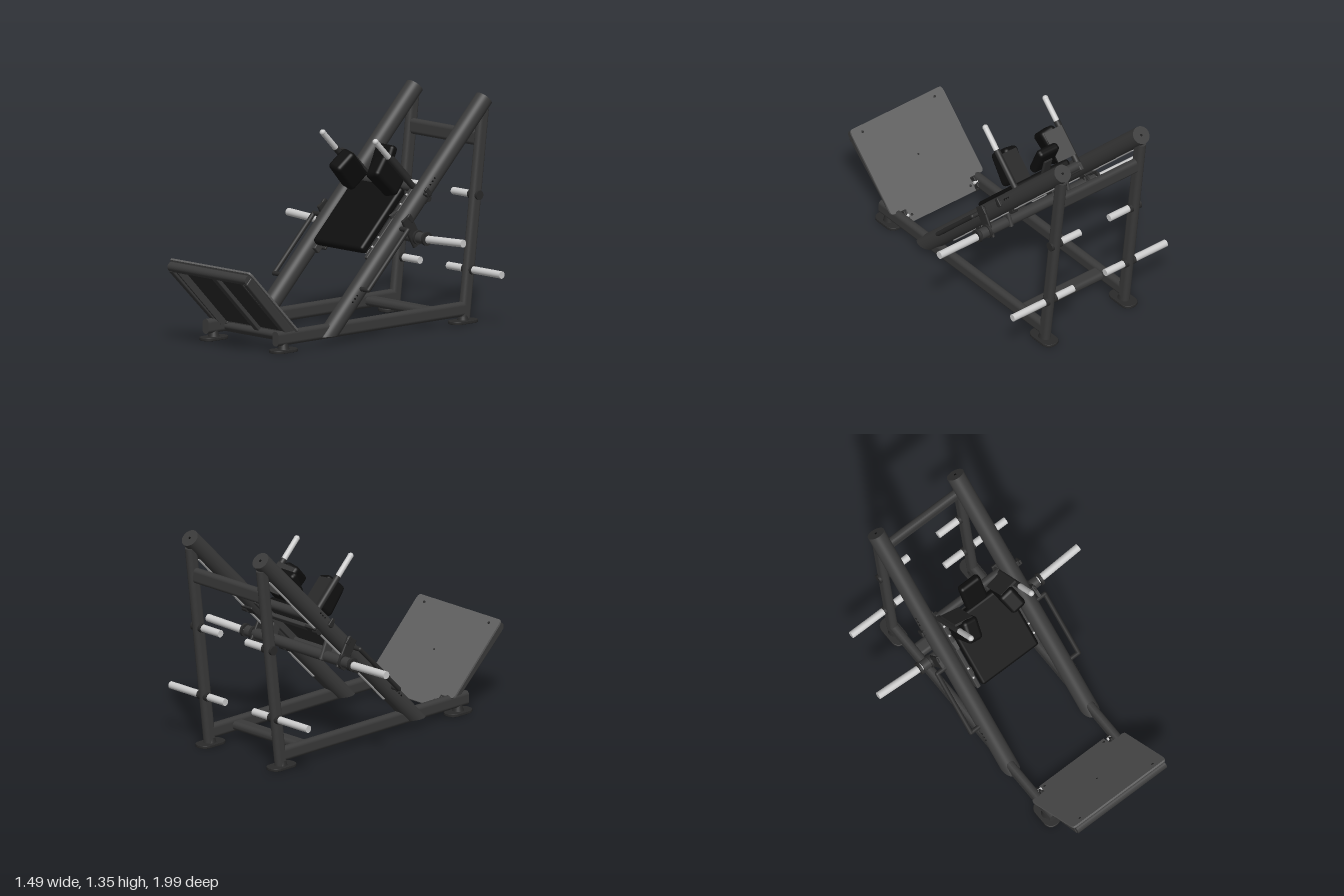
import * as THREE from 'three';
import { RoundedBoxGeometry } from 'three/addons/geometries/RoundedBoxGeometry.js';

const mat = (color) => new THREE.MeshStandardMaterial({ color });
const frame = mat(0x3a3a3a), plateGrey = mat(0x5e5e5e), black = mat(0x0e0e0e);
const dark = mat(0x2a2a2a), steel = mat(0xcccccc);
const V = (x, y, z) => new THREE.Vector3(x, y, z);

function add(parent, name, geo, material, x = 0, y = 0, z = 0) {
  const m = new THREE.Mesh(geo, material);
  m.name = name;
  m.position.set(x, y, z);
  parent.add(m);
  return m;
}

// Round rod between two points
function rod(parent, name, a, b, r, material, sides = 24) {
  const d = b.clone().sub(a);
  const m = add(parent, name, new THREE.CylinderGeometry(r, r, d.length(), sides), material);
  m.position.copy(a).add(b).multiplyScalar(0.5);
  m.quaternion.setFromUnitVectors(V(0, 1, 0), d.normalize());
  return m;
}

// Rounded rectangle outline
function roundRect(w, h, r) {
  const s = new THREE.Shape(), x = w / 2, y = h / 2;
  s.absarc(x - r, y - r, r, 0, Math.PI / 2);
  s.absarc(-x + r, y - r, r, Math.PI / 2, Math.PI);
  s.absarc(-x + r, -y + r, r, Math.PI, Math.PI * 1.5);
  s.absarc(x - r, -y + r, r, Math.PI * 1.5, Math.PI * 2);
  s.closePath();
  return s;
}

// Oval-section beam between two points
function beam(parent, name, a, b, w, h, material = frame) {
  const geo = new THREE.ExtrudeGeometry(roundRect(w, h, Math.min(w, h) * 0.46),
    { depth: a.distanceTo(b), bevelEnabled: false, curveSegments: 8 });
  const m = new THREE.Mesh(geo, material);
  m.name = name;
  m.position.copy(a);
  m.lookAt(b);
  parent.add(m);
  return m;
}

const box = (w, h, d, r = 0) =>
  r ? new RoundedBoxGeometry(w, h, d, 4, r) : new THREE.BoxGeometry(w, h, d);

function buildBase(root) {
  const g = new THREE.Group();
  g.name = 'baseFrame';
  root.add(g);
  for (const s of [-1, 1]) {
    const x = s * 0.297;
    beam(g, 'baseRail', V(x, 0.083, -0.79), V(x, 0.083, 0.72), 0.052, 0.088);
    beam(g, 'rearPost', V(x, 0.02, -0.792), V(x, 1.25, -0.945), 0.052, 0.075);
    // Feet
    for (const [z, len] of [[0.655, 0.18], [-0.785, 0.19]]) {
      const foot = add(g, 'foot', new THREE.ExtrudeGeometry(roundRect(0.1, len, 0.045),
        { depth: 0.01, bevelSize: 0.003, bevelThickness: 0.004, bevelSegments: 2 }), dark, x, 0.004, z);
      foot.rotation.x = -Math.PI / 2;
      add(g, 'footNeck', new THREE.CylinderGeometry(0.024, 0.036, 0.04, 24), dark, x, 0.034, z);
    }
    // Plate storage pegs
    rod(g, 'lowerPeg', V(s * 0.12, 0.312, -0.835), V(s * 0.575, 0.312, -0.835), 0.022, steel);
    rod(g, 'upperPeg', V(s * 0.11, 0.748, -0.884), V(s * 0.33, 0.748, -0.884), 0.022, steel);
    for (const [y, z] of [[0.312, -0.835], [0.748, -0.884]])
      rod(g, 'pegCollar', V(s * 0.255, y, z), V(s * 0.336, y, z), 0.028, dark);
  }
  beam(g, 'upperCrossbar', V(-0.29, 1.078, -0.923), V(0.29, 1.078, -0.923), 0.05, 0.092);
  beam(g, 'baseCrossbar', V(-0.29, 0.083, -0.583), V(0.29, 0.083, -0.583), 0.092, 0.052);
}

// Inclined tubes: local y runs up the slope, local z points off its upper face
function buildIncline(g) {
  const L = 1.775, R = 0.054;
  for (const s of [-1, 1]) {
    const x = s * 0.295;
    const geo = new THREE.CylinderGeometry(R, R, L, 40);
    geo.translate(0, L / 2, 0);
    // Slant the bottom end so it is level with the floor
    const p = geo.attributes.position;
    for (let i = 0; i < p.count; i++) if (p.getY(i) < 0.01) p.setY(i, -p.getZ(i));
    add(g, 'slopeTube', geo, frame, x);
    rod(g, 'endBolt', V(x, L, 0), V(x, L + 0.003, 0), 0.007, black, 12);
    rod(g, 'guideRod', V(x, 0.3, -0.046), V(x, 1.62, -0.046), 0.014, steel);
    // Adjustment holes and stop hooks on the outside
    for (const y of [0.24, 0.265, 0.29, 1.12, 1.145, 1.17])
      rod(g, 'adjustmentHole', V(s * 0.335, y, 0.02), V(s * 0.348, y, 0.02), 0.005, black, 10);
    for (const y of [0.86, 1.06]) {
      add(g, 'stopHook', box(0.05, 0.035, 0.03, 0.006), dark, s * 0.343, y, 0.012);
      add(g, 'stopHookTip', box(0.014, 0.03, 0.055, 0.005), dark, s * 0.363, y + 0.01, 0.02);
    }
    // Safety lever
    const path = new THREE.CurvePath();
    const pts = [V(s * 0.34, 0.34, 0.018), V(s * 0.4, 0.34, 0.018), V(s * 0.4, 0.79, 0.018), V(s * 0.34, 0.79, 0.018)];
    for (let i = 0; i < 3; i++) path.add(new THREE.LineCurve3(pts[i], pts[i + 1]));
    for (let i = 0; i < 3; i++) rod(g, 'safetyLever', pts[i], pts[i + 1], 0.014, dark, 16);
    for (const q of [pts[1], pts[2]]) add(g, 'leverCorner', new THREE.SphereGeometry(0.014, 16, 12), dark, q.x, q.y, q.z);
  }
}

function buildCarriage(g) {
  // Back pad on its board
  add(g, 'backPad', box(0.42, 0.47, 0.055, 0.02), black, 0, 0.805, 0.05);
  add(g, 'padBoard', box(0.38, 0.44, 0.014), dark, 0, 0.81, 0.016);
  for (const y of [0.66, 0.94])
    add(g, 'padBrace', box(0.44, 0.05, 0.025, 0.006), frame, 0, y, -0.004);
  rod(g, 'shoulderCrossbar', V(-0.225, 1.085, 0.012), V(0.225, 1.085, 0.012), 0.026, frame);

  for (const s of [-1, 1]) {
    add(g, 'sideRail', box(0.026, 0.56, 0.05, 0.006), frame, s * 0.222, 0.83, 0.0);
    for (const y of [0.63, 0.7, 0.95, 1.02])
      rod(g, 'railBolt', V(s * 0.225, y, 0.024), V(s * 0.225, y, 0.031), 0.007, steel, 6);
    // Rollers under the tubes
    for (const y of [0.64, 1.07]) {
      add(g, 'rollerBracket', box(0.09, 0.07, 0.014, 0.004), dark, s * 0.265, y, -0.058);
      rod(g, 'roller', V(s * 0.275, y, -0.055), V(s * 0.315, y, -0.055), 0.02, dark);
    }
    // Shoulder pad and hand grip
    const pad = add(g, 'shoulderPad', box(0.105, 0.15, 0.21, 0.025), black, s * 0.16, 1.025, 0.185);
    pad.rotation.set(0, s * -0.12, s * 0.2);
    add(g, 'shoulderPlate', box(0.12, 0.014, 0.19), dark, s * 0.165, 1.1, 0.17).rotation.z = s * 0.2;
    rod(g, 'gripSleeve', V(s * 0.225, 1.085, 0), V(s * 0.225, 1.085, 0.3), 0.019, dark);
    rod(g, 'handGrip', V(s * 0.225, 1.085, 0.29), V(s * 0.225, 1.085, 0.45), 0.017, steel);
    add(g, 'gripEnd', new THREE.SphereGeometry(0.018, 20, 12), steel, s * 0.225, 1.085, 0.447);
  }
}

function buildLoading(root) {
  const g = new THREE.Group();
  g.name = 'loadingAxle';
  root.add(g);
  const y = 0.568, z = -0.352;
  rod(g, 'axle', V(-0.43, y, z), V(0.43, y, z), 0.033, frame);
  for (const s of [-1, 1]) {
    // Hanger linking the axle to the carriage
    beam(g, 'axleHanger', V(s * 0.222, 0.545, -0.37), V(s * 0.222, 0.7, -0.3), 0.024, 0.07);
    beam(g, 'outerHanger', V(s * 0.358, 0.525, -0.365), V(s * 0.358, 0.69, -0.27), 0.02, 0.08, dark);
    for (const [x, r] of [[0.365, 0.042], [0.44, 0.04]])
      rod(g, 'axleCollar', V(s * x, y, z), V(s * (x + 0.016), y, z), r, dark, 32);
    rod(g, 'weightHorn', V(s * 0.43, y - 0.004, z - 0.002), V(s * 0.745, 0.576, -0.366), 0.023, steel);
  }
  // Headrest
  const head = add(g, 'headrest', box(0.148, 0.195, 0.055, 0.022), black, 0, 0.968, -0.42);
  head.rotation.x = -0.42;
  beam(g, 'headrestStem', V(0, 0.8, -0.41), V(0, 0.97, -0.455), 0.06, 0.018, dark);
}

// Foot platform: local y runs up the plate, local z points to its underside
function buildPlatform(root) {
  const g = new THREE.Group();
  g.name = 'footPlatform';
  g.position.set(0, 0.06, 0.51);
  g.rotation.x = Math.PI / 4;
  root.add(g);
  const s = new THREE.Shape();
  s.moveTo(-0.24, 0);
  s.lineTo(0.24, 0);
  s.lineTo(0.24, 0.085);
  s.lineTo(0.325, 0.085);
  s.quadraticCurveTo(0.345, 0.085, 0.345, 0.11);
  s.lineTo(0.345, 0.6);
  s.quadraticCurveTo(0.345, 0.64, 0.325, 0.64);
  s.lineTo(-0.325, 0.64);
  s.quadraticCurveTo(-0.345, 0.64, -0.345, 0.6);
  s.lineTo(-0.345, 0.11);
  s.quadraticCurveTo(-0.345, 0.085, -0.325, 0.085);
  s.lineTo(-0.24, 0.085);
  s.closePath();
  add(g, 'footPlate', new THREE.ExtrudeGeometry(s, { depth: 0.012, bevelEnabled: false }), plateGrey);
  add(g, 'platePanel', box(0.6, 0.5, 0.006), dark, 0, 0.33, 0.015);
  beam(g, 'topBar', V(-0.33, 0.607, 0.038), V(0.33, 0.607, 0.038), 0.055, 0.058);
  beam(g, 'bottomBar', V(-0.28, 0.045, 0.035), V(0.28, 0.045, 0.035), 0.045, 0.06);
  add(g, 'centreRib', box(0.04, 0.55, 0.03, 0.005), frame, 0, 0.32, 0.027);
  for (const k of [-1, 1]) {
    add(g, 'sideRib', box(0.012, 0.5, 0.05), frame, k * 0.275, 0.34, 0.036);
    const side = add(g, 'sideBeam', box(0.035, 0.52, 0.058, 0.008), frame, k * 0.308, 0.345, 0.04);
    side.rotation.z = -k * 0.035;
    for (const y of [0.04, 0.6])
      rod(g, 'plateBolt', V(k * (y < 0.1 ? 0.22 : 0.27), y, -0.003), V(k * (y < 0.1 ? 0.22 : 0.27), y, 0.002), 0.008, dark, 12);
    // Mounting lugs on the rails
    add(g, 'mountLug', box(0.014, 0.07, 0.05, 0.004), dark, k * 0.262, 0.045, 0.012);
    rod(g, 'mountBolt', V(k * 0.245, 0.045, -0.004), V(k * 0.28, 0.045, -0.004), 0.01, steel, 12);
  }
  rod(g, 'centreBolt', V(0, 0.34, -0.002), V(0, 0.34, 0.002), 0.006, dark, 12);
}

export function createModel() {
  const root = new THREE.Group();
  root.name = 'inclineSquatMachine';
  buildBase(root);
  const incline = new THREE.Group();
  incline.name = 'inclineFrame';
  incline.position.set(0, 0.055, 0.3);
  incline.rotation.x = -Math.PI / 4;
  root.add(incline);
  buildIncline(incline);
  const carriage = new THREE.Group();
  carriage.name = 'carriage';
  incline.add(carriage);
  buildCarriage(carriage);
  buildLoading(root);
  buildPlatform(root);
  return root;
}
